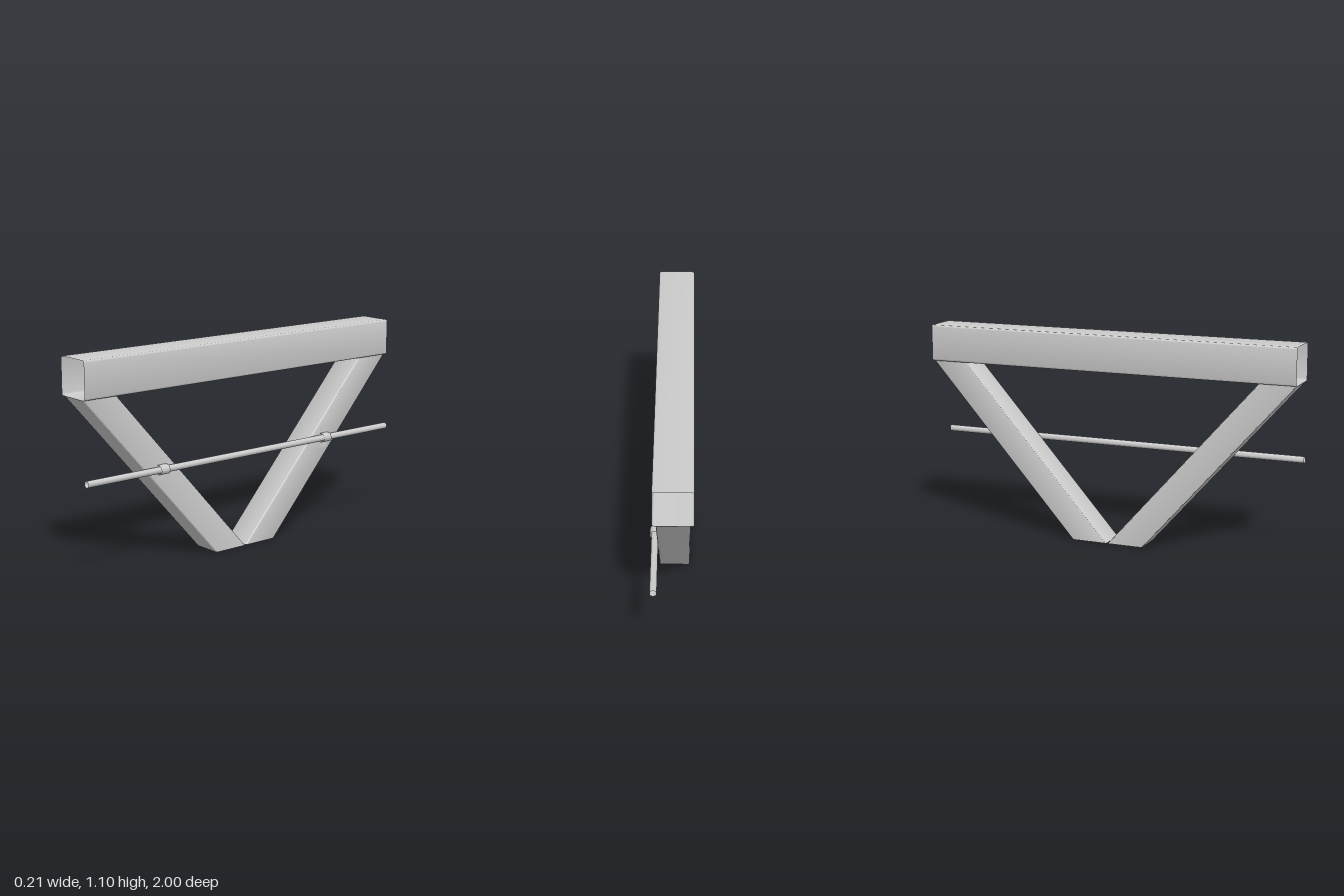
import * as THREE from 'three';
import { toCreasedNormals } from 'three/addons/utils/BufferGeometryUtils.js';

const material = new THREE.MeshStandardMaterial({ color: 0xcccccc, side: THREE.DoubleSide });
const CENTRE_X = -0.011;

// Thin open-ended wall: sweeps a profile from t = 0 to t = 1 through place(point, t).
function sweep(name, profile, place) {
  const positions = [];
  for (let i = 0; i < profile.length - 1; i++) {
    const [a, b] = [profile[i], profile[i + 1]];
    const [a0, b0, a1, b1] = [place(a, 0), place(b, 0), place(a, 1), place(b, 1)];
    positions.push(...a0, ...b0, ...b1, ...a0, ...b1, ...a1);
  }
  const geometry = new THREE.BufferGeometry();
  geometry.setAttribute('position', new THREE.Float32BufferAttribute(positions, 3));
  const mesh = new THREE.Mesh(toCreasedNormals(geometry, 0.7), material);
  mesh.name = name;
  return mesh;
}

// Points along a counter-clockwise arc.
function arc(x, y, r, from, to, steps) {
  return Array.from({ length: steps + 1 }, (_, i) => {
    const a = from + ((to - from) * i) / steps;
    return new THREE.Vector2(x + r * Math.cos(a), y + r * Math.sin(a));
  });
}

// Closed rounded rectangle around the origin, given half sizes.
function roundedRect(hw, hh, r) {
  const points = [];
  [[1, 1], [-1, 1], [-1, -1], [1, -1]].forEach(([sx, sy], i) => {
    const start = (i * Math.PI) / 2;
    points.push(...arc(sx * (hw - r), sy * (hh - r), r, start, start + Math.PI / 2, 3));
  });
  return [...points, points[0]];
}

export function createModel() {
  const group = new THREE.Group();
  group.name = 'supportFrame';

  // Hollow square top beam
  group.add(sweep('topBeam', roundedRect(0.096, 0.096, 0.01),
    (p, t) => [CENTRE_X + p.x, 1.001 + p.y, -1 + 2 * t]));

  // Slanted hollow legs, cut level at both ends
  const legProfile = roundedRect(0.079, 0.097, 0.008);
  for (const side of [1, -1]) {
    group.add(sweep(side > 0 ? 'frontLeg' : 'backLeg', legProfile,
      (p, t) => [CENTRE_X + p.x, 0.905 * t, side * (0.1 + 0.802 * t) - p.y]));
  }

  // Thin hollow rail along the left side
  const railX = 0.083, railY = 0.502;
  group.add(sweep('sideRail', arc(railX, railY, 0.017, 0, Math.PI * 2, 16),
    (p, t) => [p.x, p.y, -1 + 2 * t]));

  // Strap clamps: flat tabs with a U-shaped loop round the rail
  const tabX = 0.0705, loop = 0.024;
  const strap = [
    new THREE.Vector2(tabX, railY - 0.057),
    new THREE.Vector2(tabX, railY - loop),
    ...arc(railX, railY, loop, -Math.PI / 2, Math.PI / 2, 14),
    new THREE.Vector2(tabX, railY + loop),
    new THREE.Vector2(tabX, railY + 0.057),
  ];
  for (const side of [1, -1]) {
    group.add(sweep(side > 0 ? 'frontClamp' : 'backClamp', strap,
      (p, t) => [p.x, p.y, side * 0.545 + (t - 0.5) * 0.052]));
  }
  return group;
}
